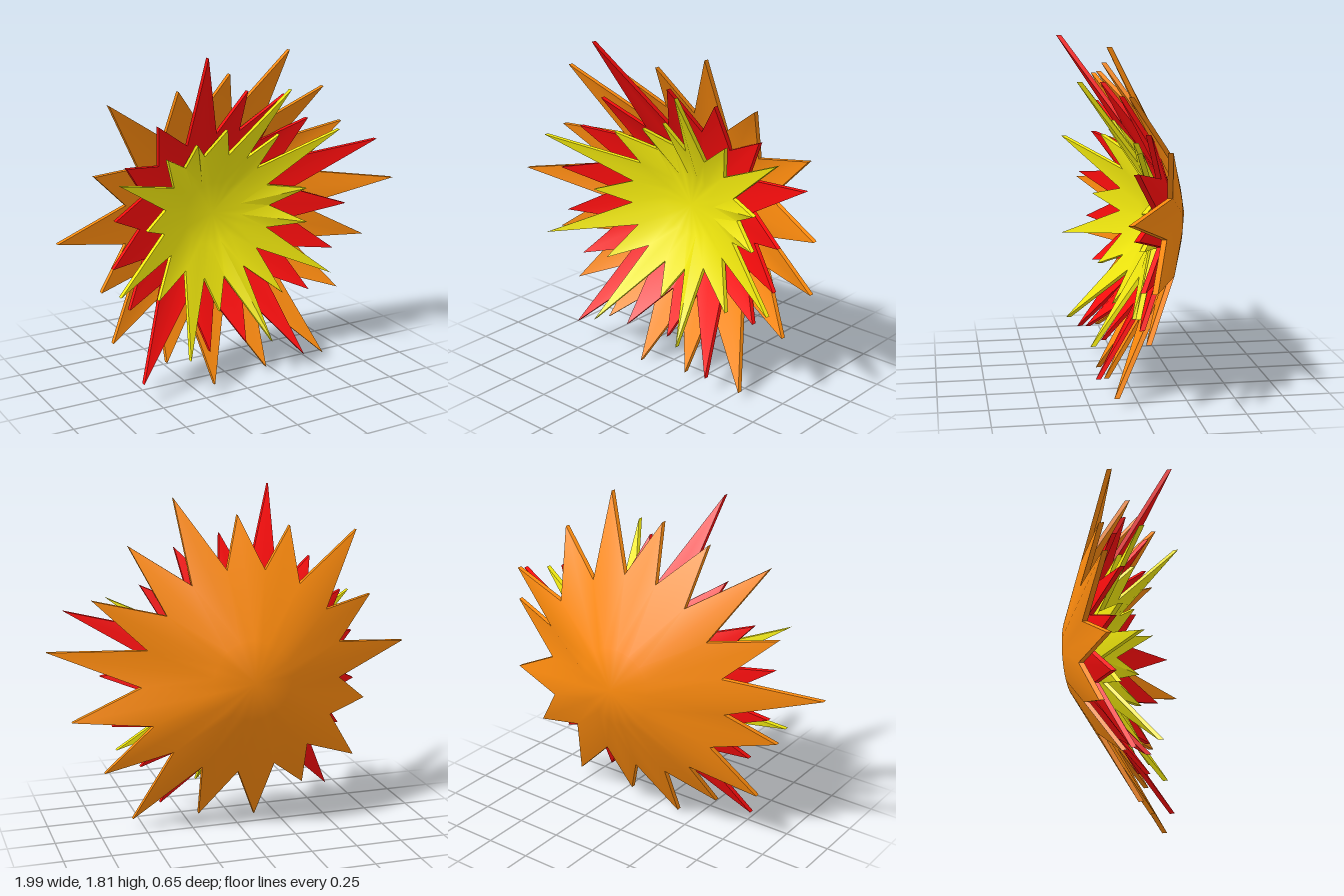
import * as THREE from 'three';
import { toCreasedNormals } from 'three/addons/utils/BufferGeometryUtils.js';

const CENTER_Y = 0.88, THICK = 0.027, SPIKES = 17;

// A point at a given angle and radius around the dish centre
const polar = (angle, radius, z) => [radius * Math.cos(angle), CENTER_Y + radius * Math.sin(angle), z];

// A thin spiked dish: centre, inner ring, then alternating tips and valleys.
// Spikes are evenly spaced from "start" with a slight uneven "drift" (degrees);
// each has its own reach and forward lift. Valleys partly follow the lift of
// the two spikes beside them.
function makeBurst({ name, color, start, drift, apex, ring, valley, reach, lift }) {
  const angleAt = (step) => {
    const a = start + (step * 360) / SPIKES;
    return THREE.MathUtils.degToRad(a + drift * Math.cos(THREE.MathUtils.degToRad(a + 30)));
  };
  const n = SPIKES * 2;
  const inner = [], rim = [];
  for (let i = 0; i < n; i++) {
    const angle = angleAt(i / 2), spike = i >> 1;
    const meanLift = (lift[spike] + lift[(spike + 1) % SPIKES]) / 2;
    inner.push(polar(angle, ...ring));
    rim.push(i % 2
      ? polar(angle, valley.radius, valley.depth + valley.follow * meanLift)
      : polar(angle, reach[spike], lift[spike]));
  }
  const face = [[0, CENTER_Y, apex], ...inner, ...rim];
  const back = face.map(([x, y, z]) => [x, y, z - THICK]);
  const B = face.length, index = [];
  for (let i = 0; i < n; i++) {
    const j = (i + 1) % n;
    const a = 1 + i, b = 1 + j, c = a + n, d = b + n;
    // Split each strip from its valley so spikes stay symmetric
    const tris = [[0, a, b], ...(i % 2 ? [[a, c, b], [b, c, d]] : [[a, c, d], [a, d, b]])];
    for (const [p, q, r] of tris) index.push(p, q, r, B + p, B + r, B + q);
    // Cut edge
    index.push(c, B + c, B + d, c, B + d, d);
  }
  const geometry = new THREE.BufferGeometry();
  geometry.setAttribute('position', new THREE.Float32BufferAttribute([...face, ...back].flat(), 3));
  geometry.setIndex(index);
  const mesh = new THREE.Mesh(
    toCreasedNormals(geometry, Math.PI / 4),
    new THREE.MeshStandardMaterial({ color }),
  );
  mesh.name = name;
  return mesh;
}

export function createModel() {
  const group = new THREE.Group();
  group.name = 'layeredStarburst';

  // Largest dish, at the back
  group.add(makeBurst({
    name: 'outerOrangeBurst', color: 0xff8c0e, start: 7.4, drift: 0,
    apex: -0.303, ring: [0.21, -0.255], valley: { radius: 0.55, depth: -0.155, follow: 0.75 },
    reach: [1, 0.9, 0.88, 0.95, 0.8, 0.8, 0.98, 0.84, 1, 0.8, 0.88, 0.81, 0.885, 0.86, 1, 0.89, 0.92],
    lift: [0.13, -0.09, 0.06, 0.13, 0.11, 0.1, 0.08, 0.06, 0.13, 0.1, 0.05, 0.1, 0.13, 0.13, 0.13, 0, 0],
  }));

  // Middle dish
  group.add(makeBurst({
    name: 'middleRedBurst', color: 0xff0d0d, start: 0, drift: 0,
    apex: -0.23, ring: [0.2, -0.2], valley: { radius: 0.47, depth: -0.12, follow: 0.5 },
    reach: [0.73, 0.97, 0.72, 0.73, 0.71, 0.97, 0.71, 0.71, 0.71, 0.71, 0.71, 0.95, 0.68, 0.67, 0.87, 0.73, 0.73],
    lift: [0.06, 0.09, -0.03, 0.07, 0.13, 0.32, 0.1, 0.09, 0.15, 0.11, 0.09, 0.18, 0.18, 0.13, 0.2, 0, 0.02],
  }));

  // Smallest and flattest dish, at the front
  group.add(makeBurst({
    name: 'innerYellowBurst', color: 0xf5ec0e, start: 8.7, drift: 2.3,
    apex: -0.14, ring: [0.17, -0.125], valley: { radius: 0.34, depth: -0.105, follow: 0.4 },
    reach: [0.53, 0.81, 0.54, 0.76, 0.5, 0.47, 0.53, 0.79, 0.5, 0.76, 0.56, 0.73, 0.5, 0.69, 0.6, 0.77, 0.53],
    lift: [-0.01, 0.04, 0, 0.27, 0.07, 0.05, 0.07, 0.25, 0.1, 0.25, 0.08, 0.27, 0.05, 0.2, 0.01, 0.04, 0],
  }));

  return group;
}
